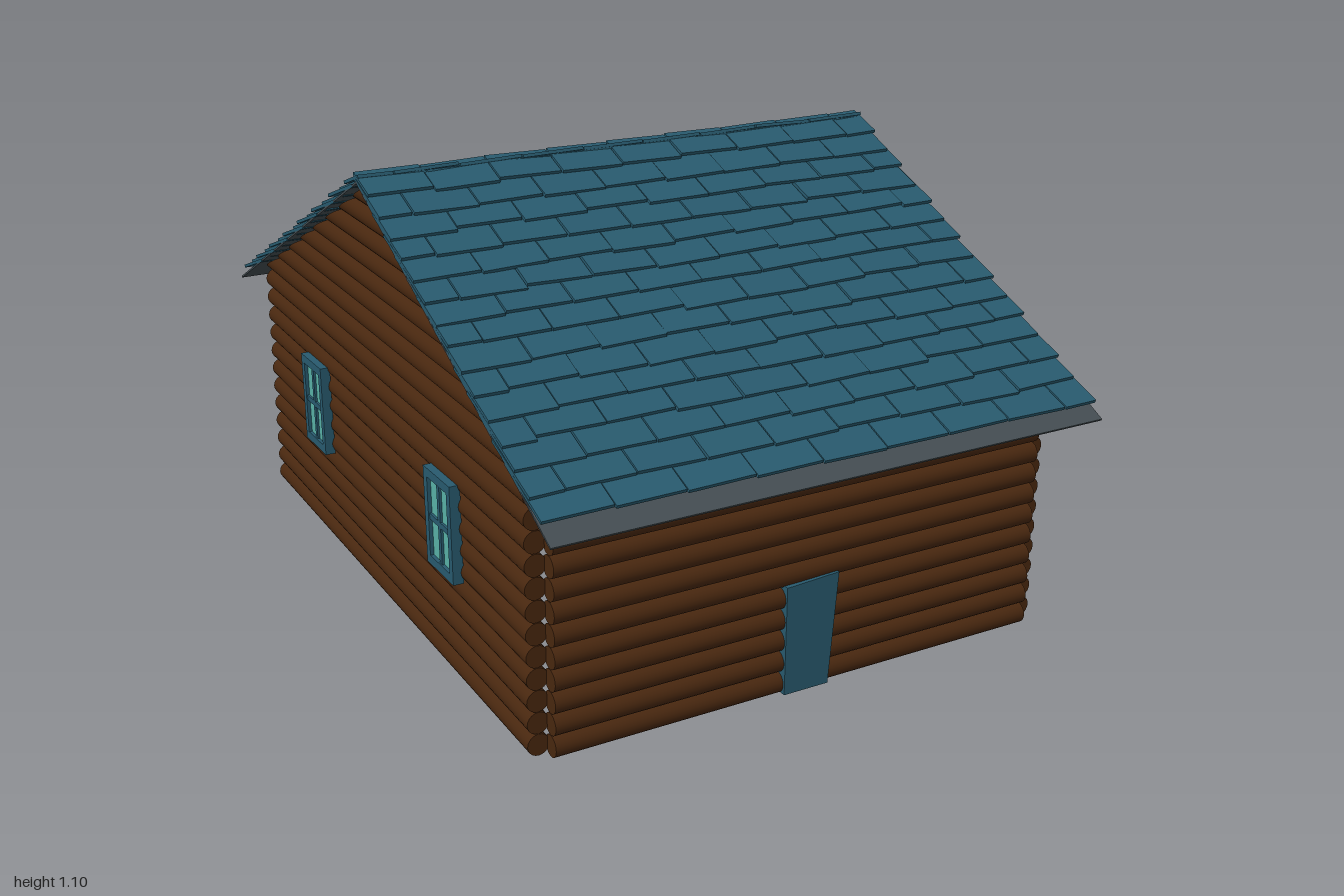
import * as THREE from 'three';
import { mergeGeometries } from 'three/addons/utils/BufferGeometryUtils.js';

const mat = (name, color) => {
  const m = new THREE.MeshStandardMaterial({ color });
  m.name = name;
  return m;
};

const PITCH = 0.505;                                  // rise of the roof per unit of z
const roofY = z => 1.08 - PITCH * Math.abs(z);
const LOG_R = 0.0262, LOG_STEP = 0.053;
const logY = i => 0.0265 + i * LOG_STEP;

export function createModel() {
  const model = new THREE.Group();
  const wood = mat('log brown', 0x48270f);
  const paint = mat('slate blue', 0x285a6e);
  const glass = mat('pale teal glass', 0x58b0a6);
  const deck = mat('roof grey', 0x444d52);

  const add = (parent, name, geometry, material) => {
    const mesh = new THREE.Mesh(geometry, material);
    mesh.name = name;
    parent.add(mesh);
    return mesh;
  };

  let seed = 7;
  const jitter = amount => {
    seed = (seed * 16807) % 2147483647;
    return (seed / 2147483647 * 2 - 1) * amount;
  };

  // Log walls: front and back
  for (const s of [1, -1]) {
    const wall = new THREE.Group();
    wall.name = s > 0 ? 'frontWall' : 'backWall';
    for (let i = 0; i < 12; i++) {
      const g = new THREE.CylinderGeometry(LOG_R, LOG_R, 1.27, 20).rotateZ(Math.PI / 2);
      add(wall, 'log', g, wood).position.set(0, logY(i), s * 0.846);
    }
    model.add(wall);
  }

  // Log walls: sides, with gable logs cut along the roof slope
  for (const s of [1, -1]) {
    const wall = new THREE.Group();
    wall.name = s > 0 ? 'leftGableWall' : 'rightGableWall';
    for (let i = 0; i < 20; i++) {
      const g = new THREE.CylinderGeometry(LOG_R, LOG_R, 1.66, 20).rotateX(Math.PI / 2);
      g.translate(s * 0.656, logY(i), 0);
      if (i >= 12) {
        const p = g.attributes.position;
        for (let k = 0; k < p.count; k++) {
          p.setZ(k, Math.sign(p.getZ(k)) * (1.068 - p.getY(k)) / PITCH);
        }
        g.computeVertexNormals();
      }
      add(wall, 'log', g, wood);
    }
    model.add(wall);
  }

  // Roof: a thin deck and overlapping, slightly crooked shingles on each slope
  const HALF = 0.705, TILE = 0.165, ROW = 0.0635, TILT = 0.37;
  for (const turn of [0, Math.PI]) {
    const slope = new THREE.Group();
    slope.name = turn ? 'backRoof' : 'frontRoof';
    slope.rotation.y = turn;

    const board = new THREE.BoxGeometry(2 * HALF - 0.004, 0.005, Math.hypot(1, PITCH));
    board.rotateX(Math.atan(PITCH)).translate(0, roofY(0.5) - 0.003, 0.499);
    add(slope, 'roofDeck', board, deck);

    const tiles = [];
    for (let r = 0; r < 15; r++) {
      for (let c = 0; c < 10; c++) {
        const start = -HALF + (c - (r % 2 ? 0.5 : 0)) * TILE;
        const x0 = Math.max(start, -HALF), x1 = Math.min(start + TILE, HALF);
        if (x1 - x0 < 0.03) continue;
        const z0 = 0.968 - r * ROW + jitter(0.006);
        const run = Math.min(0.17, z0 + 0.015);
        const tile = new THREE.BoxGeometry(x1 - x0 - 0.003, 0.008, run * Math.hypot(1, TILT));
        tile.rotateZ(jitter(0.025)).rotateY(jitter(0.015)).rotateX(Math.atan(TILT));
        tile.translate((x0 + x1) / 2, roofY(z0) + 0.019 + run / 2 * TILT, z0 - run / 2);
        tiles.push(tile);
      }
    }
    add(slope, 'shingles', mergeGeometries(tiles), paint);
    model.add(slope);
  }

  // Door: a deep box, widening crookedly toward the top
  const door = new THREE.BoxGeometry(0.118, 0.27, 0.13).translate(-0.004, 0.139, 0.812);
  const dp = door.attributes.position;
  for (let k = 0; k < dp.count; k++) {
    if (dp.getY(k) > 0.1 && dp.getX(k) > 0) {
      dp.setX(k, 0.075);
      dp.setY(k, 0.282);
    }
  }
  door.computeVertexNormals();
  add(model, 'door', door, paint);

  // Windows on the right wall: crooked frame, cross bars and panes
  for (const z of [-0.42, 0.42]) {
    const win = new THREE.Group();
    win.name = 'window';
    const bar = (name, w, h, x, y, d = 0.026) =>
      add(win, name, new THREE.BoxGeometry(w, h, d), paint).position.set(x, y, 0);
    for (const s of [-1, 1]) {
      bar('frameSide', 0.02, 0.235, s * 0.065, 0);
      bar('frameRail', 0.15, 0.022, 0, s * 0.108);
    }
    bar('mullion', 0.014, 0.21, 0, 0, 0.02);
    bar('crossBar', 0.125, 0.014, 0, 0, 0.02);
    add(win, 'panes', new THREE.BoxGeometry(0.125, 0.21, 0.008), glass);
    win.position.set(-0.689, 0.382, z);
    win.rotation.set(0, -Math.PI / 2, 0.025);
    model.add(win);
  }

  return model;
}
